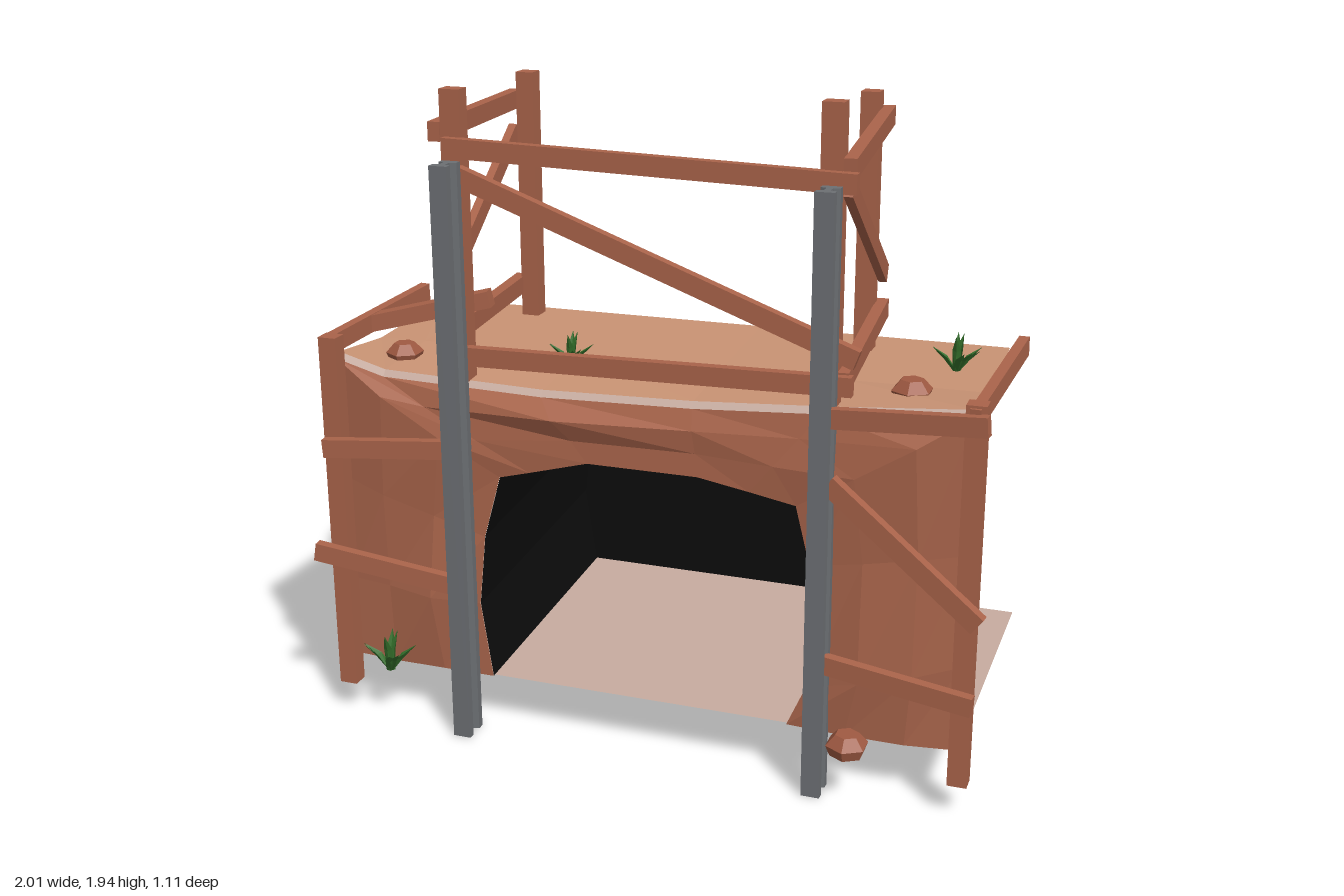
import * as THREE from 'three';

const mat = (name, color, extra = {}) => new THREE.MeshStandardMaterial({ name, color, flatShading: true, ...extra });

export function createModel() {
  const group = new THREE.Group();
  const open = { side: THREE.DoubleSide };
  const wood = mat('wood', 0xa9634a);
  const clay = mat('clay wall', 0xab664c, open);
  const sand = mat('sand top', 0xc99374, open);
  const dust = mat('pale ground', 0xc7aca0, open);
  const black = mat('tunnel black', 0x0c0c0c, open);
  const metal = mat('grey metal', 0x6c6f73);
  const rockMat = mat('rock', 0xa05a42);
  const leaf = mat('grass green', 0x346f2b, open);

  const add = (name, geometry, material, x = 0, y = 0, z = 0) => {
    const mesh = new THREE.Mesh(geometry, material);
    mesh.name = name;
    mesh.position.set(x, y, z);
    group.add(mesh);
    return mesh;
  };

  // Skin between rows of equally many points
  const skin = (rows) => {
    const n = rows[0].length, index = [];
    for (let r = 0; r < rows.length - 1; r++)
      for (let i = 0; i < n - 1; i++) {
        const a = r * n + i, b = a + n;
        index.push(a, a + 1, b, b, a + 1, b + 1);
      }
    const g = new THREE.BufferGeometry();
    g.setAttribute('position', new THREE.Float32BufferAttribute(rows.flat(2), 3));
    g.setIndex(index);
    g.computeVertexNormals();
    return g;
  };

  // Straight timber from a to b
  const plank = (name, a, b, height = 0.055, depth = 0.03) => {
    const p = new THREE.Vector3(...a), q = new THREE.Vector3(...b);
    const dir = q.clone().sub(p), length = dir.length();
    dir.normalize();
    const side = dir.clone().cross(new THREE.Vector3(0, 1, 0)).normalize();
    const up = side.clone().cross(dir);
    const mesh = add(name, new THREE.BoxGeometry(length, height, depth), wood);
    mesh.quaternion.setFromRotationMatrix(new THREE.Matrix4().makeBasis(dir, up, side));
    mesh.position.copy(p.add(q).multiplyScalar(0.5));
  };
  const post = (name, x, z, y0, y1, w, d) =>
    add(name, new THREE.BoxGeometry(w, y1 - y0, d), wood, x, (y0 + y1) / 2, z);

  // Front wall around the tunnel mouth
  const mouth = [[-0.476, 0.165], [-0.51, 0.4], [-0.487, 0.617], [-0.433, 0.81], [-0.34, 0.835], [-0.16, 0.885],
    [0.17, 0.885], [0.32, 0.86], [0.455, 0.836], [0.497, 0.665], [0.497, 0.295], [0.44, 0.165]];
  const rim = [[-0.94, 0.165], [-0.94, 0.42], [-0.95, 0.75], [-0.95, 1.115], [-0.8, 1.075], [-0.3, 1.065],
    [0.15, 1.08], [0.52, 1.105], [0.93, 1.14], [0.93, 0.75], [0.93, 0.42], [0.93, 0.165]];
  const bulge = [0.40, 0.43, 0.405, 0.425, 0.41, 0.40, 0.40, 0.41, 0.425, 0.41, 0.43, 0.41];
  const ring = (t, z) => mouth.map(([x, y], i) =>
    [x + (rim[i][0] - x) * t, y + (rim[i][1] - y) * t, z(i)]);
  add('frontWall', skin([ring(0, () => 0.4), ring(0.35, (i) => bulge[i]), ring(0.7, (i) => bulge[(i + 5) % 12]),
    ring(1, () => 0.39)]), clay);

  // Closed dark tunnel behind the mouth, open to the ground
  const back = mouth.map(([x, y]) => [x * 1.08, 0.165 + (y - 0.165) * 1.065, -0.535]);
  const centre = back.map(() => [0, 0.165, -0.535]);
  add('tunnel', skin([ring(0, () => 0.398), back, centre]), black);

  // Ground sheet, platform and its pale front lip
  add('ground', skin([[[-0.955, 0.165, -0.56], [0.93, 0.165, -0.56]], [[-0.955, 0.165, 0.39], [0.93, 0.165, 0.39]]]), dust);
  const edge = rim.slice(3, 9);
  const lip = edge.map(([x, y]) => [x, y + 0.018, 0.375]);
  add('platformLip', skin([edge.map(([x, y]) => [x, y, 0.39]), lip]), dust);
  add('platform', skin([lip, edge.map(([x], i) => [x, 1.105 + i * 0.004, 0.12]),
    edge.map(([x]) => [x * 0.985 - 0.015, 1.118, -0.336 - x * 0.021])]), sand);

  // Two steel I-beams
  const iBeam = new THREE.Shape();
  [[-0.027, -0.042], [0.027, -0.042], [0.027, -0.02], [0.009, -0.014], [0.009, 0.014], [0.027, 0.02],
    [0.027, 0.042], [-0.027, 0.042], [-0.027, 0.02], [-0.009, 0.014], [-0.009, -0.014], [-0.027, -0.02]]
    .forEach(([x, y], i) => (i ? iBeam.lineTo(x, y) : iBeam.moveTo(x, y)));
  for (const [x, z] of [[-0.54, 0.456], [0.538, 0.45]]) {
    const g = new THREE.ExtrudeGeometry(iBeam, { depth: 1.73, bevelEnabled: false });
    g.rotateX(-Math.PI / 2);
    add('steelBeam', g, metal, x, 0, z);
  }

  // Upper frame posts
  post('frontFramePost', -0.558, 0.353, 1.08, 1.92, 0.06, 0.05);
  post('frontFramePost', 0.526, 0.353, 1.08, 1.94, 0.06, 0.05);
  post('rearFramePost', -0.603, -0.255, 1.1, 1.885, 0.055, 0.055);
  post('rearFramePost', 0.49, -0.21, 1.1, 1.885, 0.055, 0.055);

  // Upper frame rails and braces
  plank('frontTopRail', [-0.575, 1.762, 0.388], [0.6, 1.735, 0.388]);
  plank('frontBrace', [-0.55, 1.69, 0.386], [0.612, 1.265, 0.386]);
  plank('frontLowRail', [-0.53, 1.165, 0.386], [0.6, 1.19, 0.386]);
  plank('leftTopRail', [0.575, 1.77, 0.375], [0.53, 1.81, -0.265], 0.055, 0.035);
  plank('rightTopRail', [-0.61, 1.8, 0.375], [-0.65, 1.8, -0.265], 0.055, 0.035);
  plank('leftLowRail', [0.57, 1.195, 0.375], [0.53, 1.235, -0.265], 0.055, 0.035);
  plank('rightLowRail', [-0.605, 1.2, 0.375], [-0.645, 1.215, -0.265], 0.055, 0.035);
  plank('leftBrace', [0.57, 1.72, 0.36], [0.53, 1.34, -0.26], 0.055, 0.025);
  plank('rightBrace', [-0.65, 1.7, -0.25], [-0.605, 1.35, 0.34], 0.055, 0.025);

  // Corner posts, side rails and boards nailed across the wall
  post('cornerPost', -0.937, 0.44, 0.097, 1.2, 0.055, 0.05);
  post('cornerPost', 0.946, 0.444, 0.097, 1.2, 0.055, 0.05);
  plank('leftSideRail', [0.945, 1.165, 0.475], [0.978, 1.205, -0.1]);
  plank('rightSideRail', [-0.95, 1.17, 0.455], [-0.905, 1.2, -0.1]);
  plank('platformBoard', [-0.93, 1.18, 0.21], [-0.565, 1.27, 0.14], 0.05, 0.05);
  [[[-0.955, 0.87, 0.485], [-0.555, 0.895, 0.44]], [[-1, 0.54, 0.492], [-0.555, 0.465, 0.44]],
    [[0.555, 0.93, 0.44], [0.985, 0.6, 0.49]], [[0.555, 0.395, 0.44], [0.98, 0.36, 0.49]],
    [[0.55, 1.115, 0.44], [0.985, 1.155, 0.49]]].forEach(([a, b]) => plank('wallBoard', a, b));

  // Rocks
  for (const [x, y, z, r] of [[-0.8, 1.115, 0.25, 0.056], [0.725, 1.145, 0.21, 0.06], [0.64, 0.19, 0.49, 0.062]]) {
    const g = new THREE.CylinderGeometry(r * 0.55, r, r * 0.5, 6);
    g.translate(0, r * 0.2, 0);
    const base = new THREE.CylinderGeometry(r, r * 0.8, r * 0.5, 6);
    base.translate(0, -r * 0.3, 0);
    add('rock', g, rockMat, x, y, z);
    add('rockBase', base, rockMat, x, y, z);
  }

  // Grass tufts of folded leaning blades
  for (const [x, y, z, s] of [[-0.31, 1.085, 0.14, 0.07], [0.795, 1.12, -0.065, 0.075], [-0.79, 0.165, 0.46, 0.085]]) {
    for (let i = 0; i < 9; i++) {
      const inner = i % 3 === 0;
      const reach = s * (inner ? 0.35 : 0.95), h = s * (inner ? 1.45 : 0.95), w = s * 0.16;
      const g = skin([[[-w, 0, 0], [0, 0, w * 0.7], [w, 0, 0]],
        [[-w, h * 0.6, reach * 0.4], [0, h * 0.55, reach * 0.55], [w, h * 0.6, reach * 0.4]],
        [[0, h, reach], [0, h, reach], [0, h, reach]]]);
      add('grassBlade', g, leaf, x, y, z).rotation.y = i * Math.PI * 2 / 9 + i * i * 0.13;
    }
  }
  return group;
}
